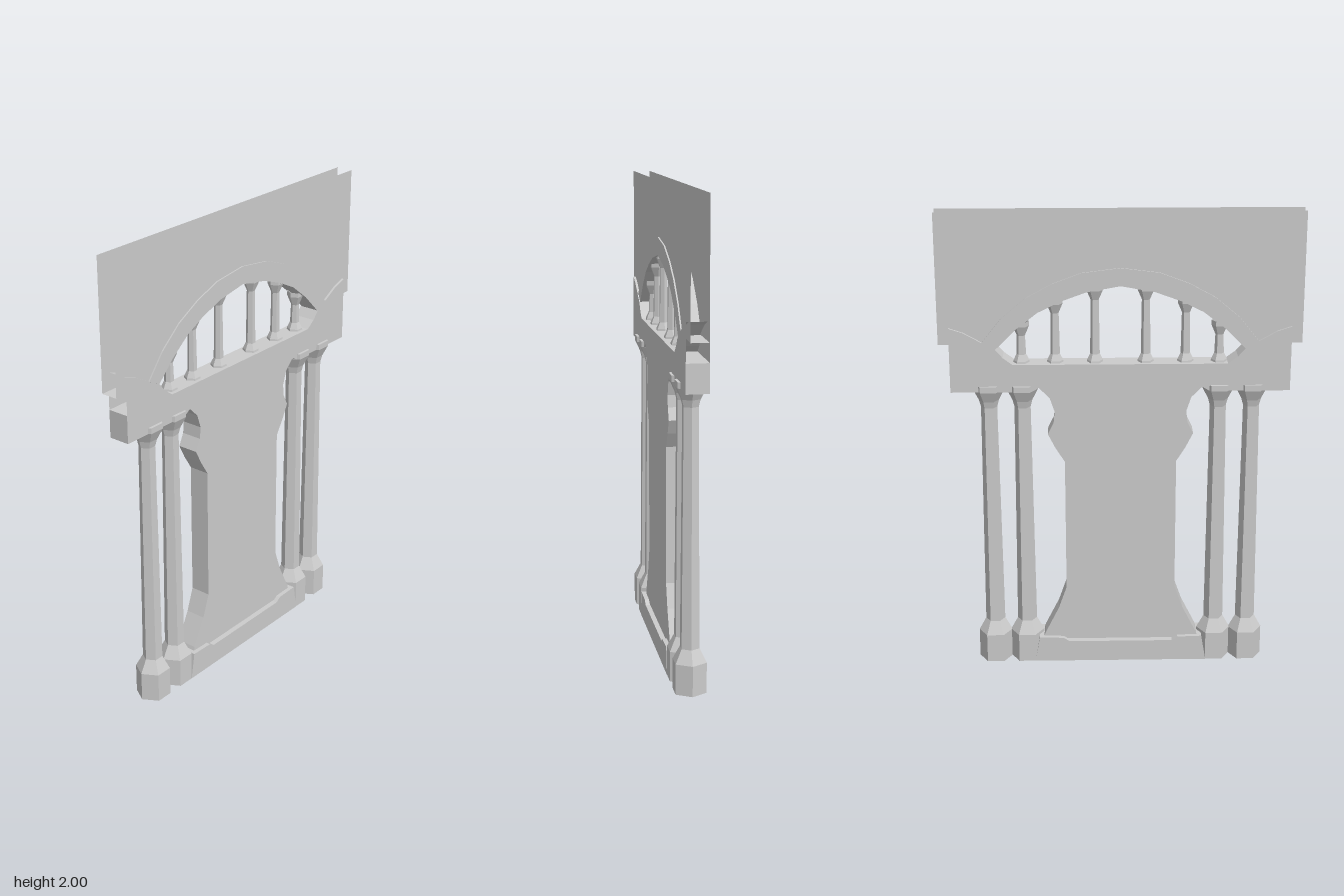
import * as THREE from 'three';

const mat = new THREE.MeshStandardMaterial({ color: 0xcccccc, flatShading: true, side: THREE.DoubleSide });

function add(parent, geo, name) {
  const m = new THREE.Mesh(geo, mat);
  m.name = name;
  parent.add(m);
  return m;
}

// Closed outline from a right-hand half, mirrored in x
const mirrored = half => [...half, ...half.slice().reverse().filter(p => p[0] !== 0).map(([x, y]) => [-x, y])];
const shapeOf = pts => new THREE.Shape(pts.map(p => new THREE.Vector2(...p)));

function slab(pts, halfDepth) {
  const g = new THREE.ExtrudeGeometry(shapeOf(pts), { depth: 2 * halfDepth, bevelEnabled: false });
  return g.translate(0, 0, -halfDepth);
}

// Open surface swept through z along a polyline
function strip(pts, d) {
  const pos = [], idx = [];
  pts.forEach(([x, y], i) => {
    pos.push(x, y, d, x, y, -d);
    if (i) idx.push(2 * i - 2, 2 * i - 1, 2 * i, 2 * i - 1, 2 * i + 1, 2 * i);
  });
  const g = new THREE.BufferGeometry();
  g.setAttribute('position', new THREE.Float32BufferAttribute(pos, 3));
  g.setIndex(idx);
  g.computeVertexNormals();
  return g;
}

// Six-sided turned post with a corner towards +x
function post(profile) {
  const pts = profile.map(([r, y]) => new THREE.Vector2(r, y));
  return new THREE.LatheGeometry(pts, 6, Math.PI / 6);
}

export function createModel() {
  const model = new THREE.Group();
  model.name = 'archedGateway';

  // Plinth with a shallow sunken top
  add(model, slab(mirrored([[0.375, 0], [0.355, 0.115], [0.25, 0.112], [0.225, 0.095]]), 0.064), 'plinth');

  // Waisted central pier
  add(model, slab(mirrored([
    [0.34, 0.1], [0.33, 0.13], [0.27, 0.25], [0.235, 0.35], [0.235, 0.935], [0.275, 1.0], [0.305, 1.06],
    [0.28, 1.11], [0.275, 1.16], [0.295, 1.22], [0.345, 1.27],
  ]), 0.045), 'pier');

  // Lintel
  add(model, slab(mirrored([[0.34, 1.265], [0.37, 1.247], [0.705, 1.247], [0.705, 1.365]]), 0.046), 'lintel');

  // Arch ring
  const inner = [[0, 1.695], [0.14, 1.67], [0.25, 1.63], [0.34, 1.585], [0.43, 1.515], [0.515, 1.43]];
  const outer = [[0.57, 1.46], [0.49, 1.56], [0.39, 1.645], [0.28, 1.705], [0.16, 1.75], [0, 1.77]];
  const left = pts => pts.slice().reverse().map(([x, y]) => [-x, y]);
  add(model, slab([...inner, ...outer, ...left(outer).slice(1), ...left(inner).slice(0, -1)], 0.042), 'archRing');

  // Hollow upper wall: two thin sheets cut along the arch
  const wall = [[-0.75, 1.45], [-0.75, 2], [0.75, 2], [0.75, 1.45], [0.56, 1.45],
    ...outer, ...left(outer).slice(1), [-0.56, 1.45]];
  for (const z of [-0.036, 0.036]) {
    add(model, new THREE.ShapeGeometry(shapeOf(wall)).translate(0, 0, z), 'upperWallSheet');
  }

  // Arch springers, open at their outer ends
  for (const s of [-1, 1]) {
    const flip = pts => pts.map(([x, y]) => [s * x, y]);
    const edge = flip([[0.445, 1.365], [0.485, 1.395], [0.515, 1.43], [0.57, 1.46], [0.645, 1.502], [0.705, 1.522]]);
    const springer = new THREE.Group();
    springer.name = s > 0 ? 'leftSpringer' : 'rightSpringer';
    model.add(springer);
    for (const z of [-0.046, 0.046]) {
      add(springer, new THREE.ShapeGeometry(shapeOf([...edge, [s * 0.705, 1.365]])).translate(0, 0, z), 'springerSide');
    }
    add(springer, strip(edge.slice(0, 3), 0.046), 'springerReveal');
    add(springer, strip(edge.slice(3), 0.046), 'springerTop');
    add(model, strip(flip([[0.57, 1.45], [0.75, 1.45]]), 0.036), 'upperWallUnderside');

    // Tall paired columns
    for (const x of [0.41, 0.55]) {
      const column = add(model, post([
        [0, 0], [0.073, 0], [0.073, 0.128], [0.042, 0.185], [0.034, 1.17], [0.042, 1.2],
        [0.066, 1.247], [0.066, 1.272], [0, 1.272],
      ]), 'column');
      column.position.x = s * x;
    }

    // Small balusters beneath the arch
    for (const [x, top] of [[0.105, 1.69], [0.27, 1.635], [0.41, 1.54]]) {
      const baluster = add(model, post([
        [0.035, 1.36], [0.033, 1.373], [0.02, 1.4], [0.017, top - 0.06], [0.034, top - 0.02], [0.034, top],
      ]), 'baluster');
      baluster.position.x = s * x;
    }
  }
  return model;
}
